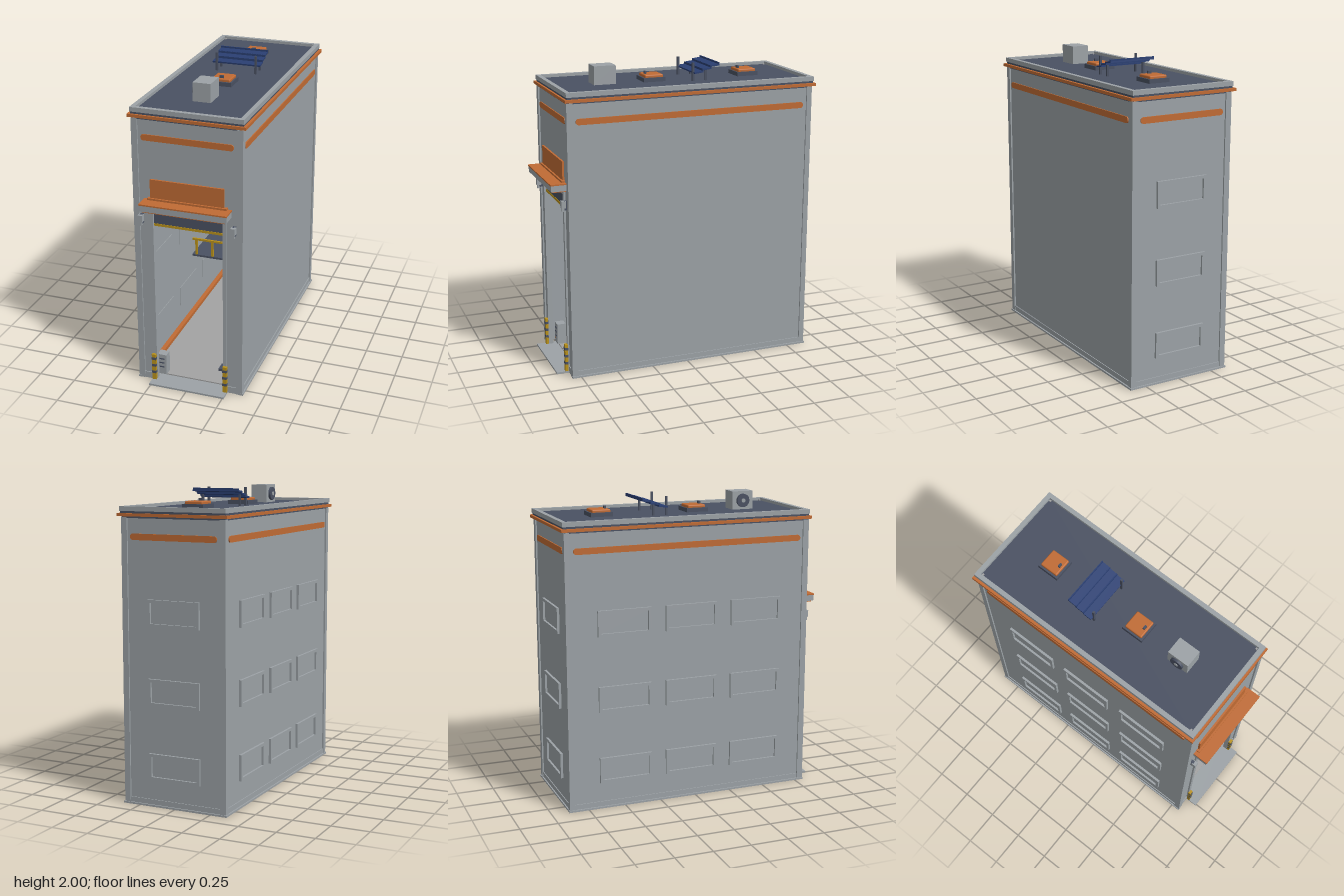
import * as THREE from 'three';
import { RoundedBoxGeometry } from 'three/addons/geometries/RoundedBoxGeometry.js';

const mat = (name, color) => {
  const m = new THREE.MeshStandardMaterial({ color });
  m.name = name;
  return m;
};

export function createModel() {
  const root = new THREE.Group();
  root.name = 'building';
  const wall = mat('wall grey', 0x9ca2a6);
  const slate = mat('slate', 0x4a5162);
  const orange = mat('orange', 0xc06b34);
  const yellow = mat('yellow', 0xba921c);
  const blue = mat('panel blue', 0x2a3f72);
  const concrete = mat('concrete', 0xa3a3a3);

  const add = (name, geometry, material, parent = root) => {
    const mesh = new THREE.Mesh(geometry, material);
    mesh.name = name;
    parent.add(mesh);
    return mesh;
  };
  // Box given by its limits on each axis
  const box = (name, m, x0, x1, y0, y1, z0, z1, parent = root) => {
    const b = add(name, new THREE.BoxGeometry(x1 - x0, y1 - y0, z1 - z0), m, parent);
    b.position.set((x0 + x1) / 2, (y0 + y1) / 2, (z0 + z1) / 2);
    return b;
  };
  // Rectangular ring lying flat, made of four bars
  const ring = (name, m, x, z0, z1, t, y0, y1) => {
    for (const s of [-1, 1]) box(name, m, s > 0 ? x - t : -x, s > 0 ? x : t - x, y0, y1, z0, z1);
    box(name, m, t - x, x - t, y0, y1, z0, z0 + t);
    box(name, m, t - x, x - t, y0, y1, z1 - t, z1);
  };

  // Hollow shell
  box('leftWall', wall, 0.33, 0.35, 0, 1.84, -0.87, 0.8);
  box('rightWall', wall, -0.35, -0.33, 0, 1.84, -0.87, 0.8);
  box('backWall', wall, -0.33, 0.33, 0, 1.84, -0.87, -0.85);
  box('frontLintel', wall, -0.33, 0.33, 1.21, 1.84, 0.78, 0.8);
  for (const s of [-1, 1]) {
    const side = (name, m, a, b, ...rest) => box(name, m, Math.min(s * a, s * b), Math.max(s * a, s * b), ...rest);
    side('frontPier', wall, 0.23, 0.33, 0, 1.21, 0.78, 0.8);
    // Corner posts and rails of the outer frame
    side('frontCornerPost', wall, 0.32, 0.36, 0, 1.83, 0.77, 0.81);
    side('backCornerPost', wall, 0.32, 0.36, 0, 1.83, -0.88, -0.845);
    side('sideBottomRail', wall, 0.35, 0.356, 0, 0.045, -0.845, 0.77);
    side('frontBottomRail', wall, 0.255, 0.32, 0, 0.045, 0.8, 0.806);
    side('sideBaseLip', wall, 0.345, 0.366, 0, 0.012, -0.885, 0.812);
    // Door jamb, lamp and striped guard post
    side('doorJamb', wall, 0.23, 0.255, 0, 1.25, 0.78, 0.812);
    side('lampBracket', slate, 0.295, 0.315, 1.14, 1.2, 0.8, 0.825);
    side('lampHousing', wall, 0.29, 0.32, 1.155, 1.2, 0.815, 0.845);
    side('lampShade', wall, 0.297, 0.313, 1.13, 1.155, 0.82, 0.84);
    side('guardPost', yellow, 0.232, 0.26, 0.012, 0.2, 0.81, 0.83);
    for (const y of [0.06, 0.11, 0.16])
      side('guardBand', slate, 0.231, 0.261, y, y + 0.018, 0.809, 0.832);
    // Skirting inside
    side('sideSkirting', orange, 0.3, 0.33, 0.006, 0.045, -0.85, 0.74);
  }
  box('backBottomRail', wall, -0.32, 0.32, 0, 0.045, -0.876, -0.87);
  box('backBaseLip', wall, -0.345, 0.345, 0, 0.012, -0.885, -0.865);
  box('backSkirting', orange, -0.3, 0.3, 0.006, 0.045, -0.85, -0.82);
  box('floor', concrete, -0.3, 0.3, 0.004, 0.02, -0.82, 0.75);
  box('threshold', wall, -0.26, 0.26, 0, 0.012, 0.75, 0.89);

  // Round-ended stripe on each face
  const stripe = (length, x, z, turn) => {
    const r = 0.02, h = length / 2 - r, s = new THREE.Shape();
    s.moveTo(-h, -r);
    s.lineTo(h, -r);
    s.absarc(h, 0, r, -Math.PI / 2, Math.PI / 2);
    s.lineTo(-h, r);
    s.absarc(-h, 0, r, Math.PI / 2, Math.PI * 1.5);
    const g = new THREE.ExtrudeGeometry(s, { depth: 0.007, bevelEnabled: false, curveSegments: 6 });
    const m = add('stripe', g, orange);
    m.position.set(x, 1.71, z);
    m.rotation.y = turn;
  };
  stripe(0.6, 0, 0.8, 0);
  stripe(0.6, 0, -0.87, Math.PI);
  stripe(1.57, 0.35, -0.035, Math.PI / 2);
  stripe(1.57, -0.35, -0.035, -Math.PI / 2);

  // Framed windows on the back and the right wall
  const rect = (path, w, h) => {
    path.moveTo(-w, -h);
    path.lineTo(w, -h);
    path.lineTo(w, h);
    path.lineTo(-w, h);
    path.closePath();
    return path;
  };
  const frameShape = rect(new THREE.Shape(), 0.18, 0.085);
  frameShape.holes.push(rect(new THREE.Path(), 0.16, 0.065));
  const frameGeo = new THREE.ExtrudeGeometry(frameShape, { depth: 0.016, bevelEnabled: false });
  const windowAt = (x, y, z, turn) => {
    const g = new THREE.Group();
    g.name = 'window';
    add('windowFrame', frameGeo, wall, g);
    box('windowPane', wall, -0.165, 0.165, -0.07, 0.07, -0.024, 0.002, g);
    g.position.set(x, y, z);
    g.rotation.y = turn;
    root.add(g);
  };
  for (const y of [0.26, 0.74, 1.24]) {
    windowAt(0, y, -0.87, Math.PI);
    for (const z of [-0.49, -0.03, 0.43]) windowAt(-0.35, y, z, -Math.PI / 2);
  }

  // Cornice, parapet and roof deck
  ring('soffit', slate, 0.357, -0.878, 0.808, 0.03, 1.825, 1.838);
  ring('corniceTrim', orange, 0.38, -0.9, 0.822, 0.05, 1.836, 1.855);
  ring('corniceBand', slate, 0.362, -0.885, 0.808, 0.03, 1.855, 1.87);
  ring('parapet', wall, 0.366, -0.89, 0.812, 0.03, 1.868, 1.897);
  box('roofDeck', slate, -0.34, 0.34, 1.84, 1.878, -0.865, 0.785);
  for (const x of [-0.327, 0.327])
    for (const z of [-0.85, 0.772]) box('roofDrain', concrete, x - 0.006, x + 0.006, 1.87, 1.884, z - 0.006, z + 0.006);

  // Entrance canopy, sign board and rolled shutter
  box('canopy', wall, -0.285, 0.285, 1.257, 1.297, 0.8, 0.9);
  box('canopyTop', orange, -0.287, 0.287, 1.297, 1.306, 0.8, 0.905);
  box('canopyUnderTrim', orange, -0.27, 0.27, 1.248, 1.257, 0.8, 0.89);
  box('signBase', orange, -0.26, 0.26, 1.306, 1.318, 0.8, 0.825);
  box('signBoard', orange, -0.245, 0.24, 1.318, 1.44, 0.8, 0.813);
  box('shutter', slate, -0.23, 0.23, 1.14, 1.215, 0.782, 0.797);
  box('shutterEdge', yellow, -0.23, 0.23, 1.124, 1.14, 0.78, 0.8);

  // Upper floors with railings inside
  for (const y of [0.465, 0.92]) {
    box('upperFloor', slate, -0.33, 0.33, y, y + 0.014, -0.85, -0.12);
    box('handrail', yellow, -0.33, 0.33, y + 0.126, y + 0.14, -0.136, -0.122);
    for (let i = -2; i <= 3; i++) {
      const x = i * 0.12 - 0.06;
      box('railPost', yellow, x - 0.008, x + 0.008, y + 0.014, y + 0.126, -0.136, -0.122);
    }
  }

  // Fittings inside the door
  box('cabinet', wall, -0.25, -0.186, 0.02, 0.165, 0.7, 0.76);
  for (const y of [0.07, 0.1, 0.13]) box('cabinetSlot', slate, -0.235, -0.2, y, y + 0.008, 0.76, 0.763);
  box('standPost', wall, 0.205, 0.235, 0.02, 0.122, 0.71, 0.74);
  box('standTop', slate, 0.18, 0.25, 0.122, 0.138, 0.69, 0.76);

  // Roof hatches
  for (const z of [0.125, -0.54]) {
    box('hatchBase', slate, -0.075, 0.075, 1.878, 1.905, z - 0.075, z + 0.075);
    const lid = add('hatchLid', new RoundedBoxGeometry(0.126, 0.025, 0.126, 2, 0.008), orange);
    lid.position.set(0, 1.911, z);
    box('hatchHandle', slate, -0.013, 0.013, 1.922, 1.94, z + 0.035, z + 0.048);
  }

  // Ventilation unit with a side fan
  box('ventUnit', wall, -0.06, 0.058, 1.878, 2, 0.387, 0.535);
  const fan = new THREE.Group();
  fan.name = 'ventFan';
  fan.position.set(-0.067, 1.938, 0.46);
  fan.rotation.z = Math.PI / 2;
  add('fanHousing', new THREE.CylinderGeometry(0.045, 0.045, 0.016, 20), slate, fan);
  const hub = add('fanHub', new THREE.CylinderGeometry(0.014, 0.014, 0.006, 12), wall, fan);
  hub.position.y = 0.009;
  root.add(fan);

  // Stepped blue panels on posts
  for (let i = 0; i < 3; i++) {
    const p = box('roofPanel', blue, -0.165, 0.165, 1.932 + i * 0.02, 1.942 + i * 0.02, -0.18 - i * 0.058, -0.12 - i * 0.058);
    p.rotation.x = 0.12;
    box('panelRiser', blue, -0.165, 0.165, 1.938 + i * 0.02, 1.96 + i * 0.018, -0.183 - i * 0.056, -0.176 - i * 0.056);
  }
  for (const x of [-0.135, 0.135]) {
    box('frontPanelPost', slate, x - 0.007, x + 0.007, 1.878, 2, -0.127, -0.113);
    box('backPanelPost', slate, x - 0.007, x + 0.007, 1.878, 1.955, -0.217, -0.203);
  }
  return root;
}
